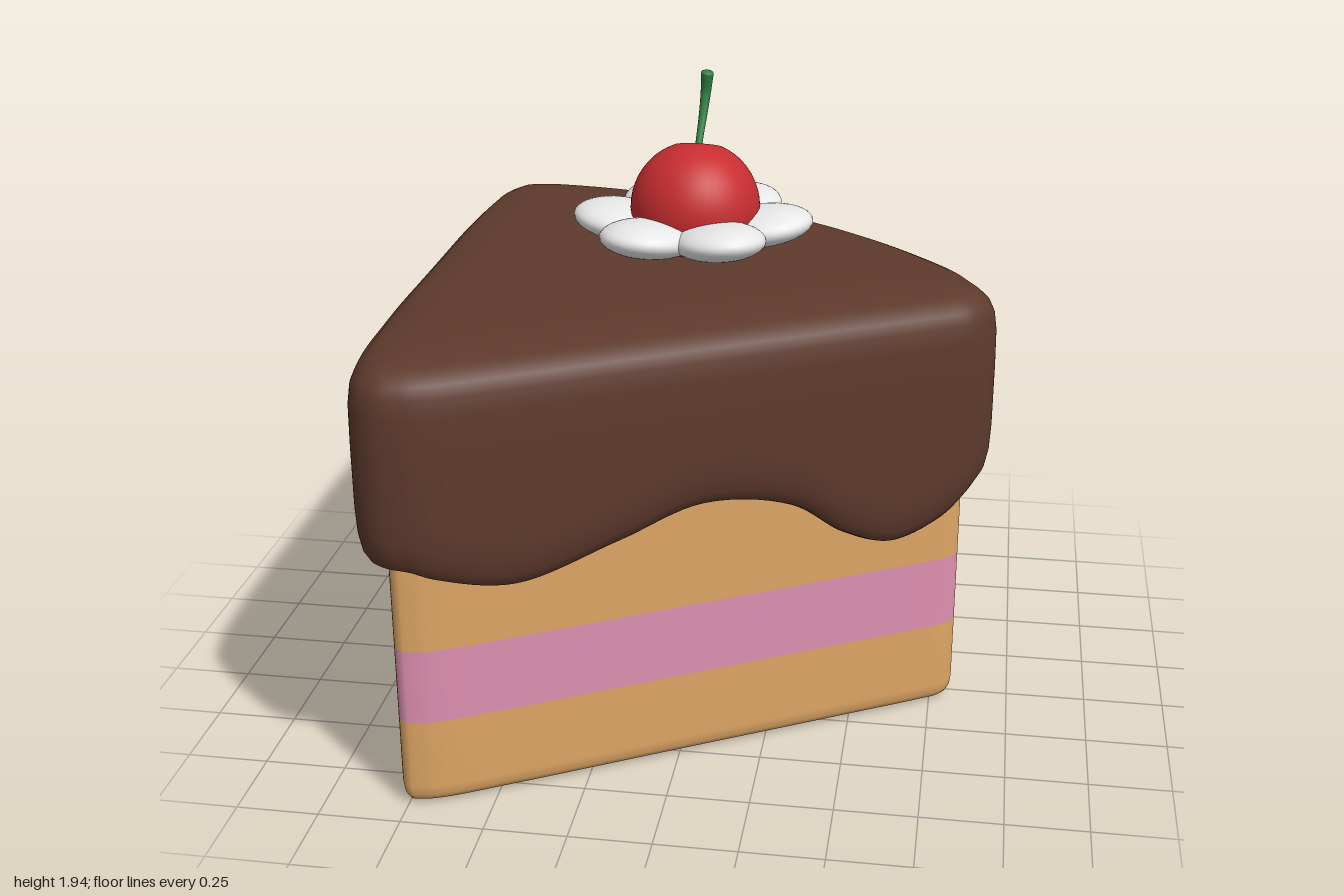
import * as THREE from 'three';

const mat = (name, color) => {
  const m = new THREE.MeshStandardMaterial({ color });
  m.name = name;
  return m;
};

// Slice footprint with the icing's drip height: x, drip y, z, counterclockwise from above
const TIP_X = -0.8, TIP_Z = 1, RADIUS = 2.005;
const frontSide = [
  [-0.68, 0.79, 0.992], [-0.6, 0.76, 0.965], [-0.4, 0.71, 0.856], [-0.13, 0.79, 0.702], [0.1, 0.865, 0.57],
  [0.35, 0.81, 0.428], [0.5, 0.69, 0.342], [0.63, 0.635, 0.268], [0.76, 0.675, 0.193],
  [0.84, 0.735, 0.14], [0.885, 0.77, 0.08], [0.9, 0.78, 0.02], [0.885, 0.765, -0.05], [0.855, 0.74, -0.11],
];
// Rounded back: angle around the slice tip, drip y
const backSide = [
  [53, 0.7], [49, 0.67], [43, 0.645], [38, 0.67], [34, 0.725], [28, 0.67],
  [21, 0.635], [14, 0.64], [7, 0.66],
].map(([deg, h]) => {
  const a = THREE.MathUtils.degToRad(deg);
  return [TIP_X + RADIUS * Math.sin(a), h, TIP_Z - RADIUS * Math.cos(a)];
});
const leftSide = [
  [-0.72, 0.68, -0.995], [-0.82, 0.7, -0.955], [-0.87, 0.69, -0.86], [-0.89, 0.66, -0.7],
  [-0.9, 0.65, -0.45], [-0.9, 0.725, -0.1], [-0.9, 0.62, 0.12], [-0.9, 0.572, 0.3],
  [-0.895, 0.62, 0.5], [-0.885, 0.72, 0.72], [-0.86, 0.78, 0.88], [-0.82, 0.8, 0.96], [-0.76, 0.8, 0.995],
];
const outlineCurve = new THREE.CatmullRomCurve3(
  [...frontSide, ...backSide, ...leftSide].map((p) => new THREE.Vector3(...p)), true, 'centripetal');
const STEPS = 288;
const outline = Array.from({ length: STEPS }, (_, i) => {
  const p = outlineCurve.getPoint(i / STEPS);
  const t = outlineCurve.getTangent(i / STEPS);
  const len = Math.hypot(t.x, t.z);
  return { x: p.x, z: p.z, drip: p.y, nx: -t.z / len, nz: t.x / len };
});
const CENTER = { x: -0.3, z: -0.1 };

// Rings run upward: inset from the outline, height (a number or a function of the drip),
// and shrink toward the middle
function loft(rings) {
  const pos = [], index = [];
  for (const [inset, height, shrink = 0] of rings) {
    for (const o of outline) {
      const x = o.x - o.nx * inset, z = o.z - o.nz * inset;
      pos.push(x + (CENTER.x - x) * shrink,
        typeof height === 'function' ? height(o.drip) : height,
        z + (CENTER.z - z) * shrink);
    }
  }
  for (let j = 0; j < rings.length - 1; j++) {
    for (let i = 0; i < STEPS; i++) {
      const a = j * STEPS + i, b = j * STEPS + (i + 1) % STEPS;
      index.push(a, b, b + STEPS, a, b + STEPS, a + STEPS);
    }
  }
  const g = new THREE.BufferGeometry();
  g.setAttribute('position', new THREE.Float32BufferAttribute(pos, 3));
  g.setIndex(index);
  g.computeVertexNormals();
  return g;
}

export function createModel() {
  const sponge = mat('sponge tan', 0xdfa665);
  const filling = mat('filling pink', 0xde90b0);
  const chocolate = mat('chocolate brown', 0x5e3a2c);
  const cream = mat('cream white', 0xe8e8e8);
  const red = mat('cherry red', 0xc82d30);
  const green = mat('stem green', 0x2f7f40);

  const group = new THREE.Group();
  const add = (name, geometry, material, parent = group) => {
    const m = new THREE.Mesh(geometry, material);
    m.name = name;
    parent.add(m);
    return m;
  };

  // Cake layers
  const SIDE = 0.083;
  add('lowerSponge', loft([
    [SIDE + 0.03, 0, 0.999], [SIDE + 0.03, 0, 0.1], [SIDE + 0.03, 0.004, 0.03], [SIDE + 0.015, 0.016],
    [SIDE + 0.004, 0.035], [SIDE, 0.065], [SIDE, 0.285],
  ]), sponge);
  add('filling', loft([[SIDE, 0.285], [SIDE, 0.52]]), filling);
  add('upperSponge', loft([[SIDE, 0.52], [SIDE, 1.2]]), sponge);

  // Icing with a wavy dripping rim
  const above = (d) => (h) => h + d;
  add('icing', loft([
    [0.1, above(0.04)], [0.085, above(0.012)], [0.06, above(0)], [0.035, above(0.01)],
    [0.015, above(0.045)], [0.004, above(0.1)], [0, above(0.18)], [0, 1.15], [0.002, 1.27],
    [0.01, 1.325], [0.025, 1.358], [0.05, 1.381], [0.08, 1.394],
    [0.08, 1.404, 0.1], [0.08, 1.411, 0.3], [0.08, 1.412, 0.999],
  ]), chocolate);

  // Ring of cream petals
  const topping = new THREE.Group();
  topping.name = 'creamFlower';
  topping.position.set(-0.08, 1.47, -0.29);
  group.add(topping);
  const petal = new THREE.SphereGeometry(1, 32, 20);
  petal.scale(0.165, 0.06, 0.145);
  petal.rotateZ(0.14);
  petal.translate(0.222, 0, 0);
  for (let i = 0; i < 6; i++) {
    add('creamPetal', petal, cream, topping).rotation.y = i * Math.PI / 3;
  }
  const heart = add('creamCenter', new THREE.SphereGeometry(0.2, 32, 16), cream, topping);
  heart.scale.y = 0.25;
  heart.position.y = -0.02;

  // Cherry with a dimple, leaning back
  const R = 0.206;
  const profile = [];
  for (let i = 0; i <= 22; i++) {
    const a = Math.PI - (i / 22) * (Math.PI - 0.38);
    profile.push(new THREE.Vector2(Math.max(R * Math.sin(a), 0), R * Math.cos(a)));
  }
  profile.push(new THREE.Vector2(0.055, 0.18), new THREE.Vector2(0.03, 0.168), new THREE.Vector2(0, 0.162));
  const cherry = add('cherry', new THREE.LatheGeometry(profile, 40), red);
  cherry.position.set(-0.07, 1.528, -0.277);
  cherry.rotation.x = -0.36;

  // Curved stem, thicker at its tip
  const path = new THREE.CatmullRomCurve3([
    [-0.072, 1.66, -0.315], [-0.068, 1.73, -0.355], [-0.062, 1.8, -0.39],
    [-0.056, 1.87, -0.408], [-0.05, 1.93, -0.398],
  ].map((p) => new THREE.Vector3(...p)));
  const RINGS = 24, SIDES = 12;
  const stem = new THREE.TubeGeometry(path, RINGS, 0.012, SIDES);
  const pos = stem.attributes.position, v = new THREE.Vector3();
  for (let i = 0; i < pos.count; i++) {
    const u = Math.floor(i / (SIDES + 1)) / RINGS;
    const c = path.getPointAt(u);
    v.fromBufferAttribute(pos, i).sub(c).multiplyScalar(0.9 + 0.8 * u * u).add(c);
    pos.setXYZ(i, v.x, v.y, v.z);
  }
  add('stem', stem, green);
  const tip = add('stemTip', new THREE.SphereGeometry(0.0204, 12, 8), green);
  tip.scale.y = 0.4;
  tip.position.copy(path.getPointAt(1));
  tip.quaternion.setFromUnitVectors(new THREE.Vector3(0, 1, 0), path.getTangentAt(1));

  return group;
}
